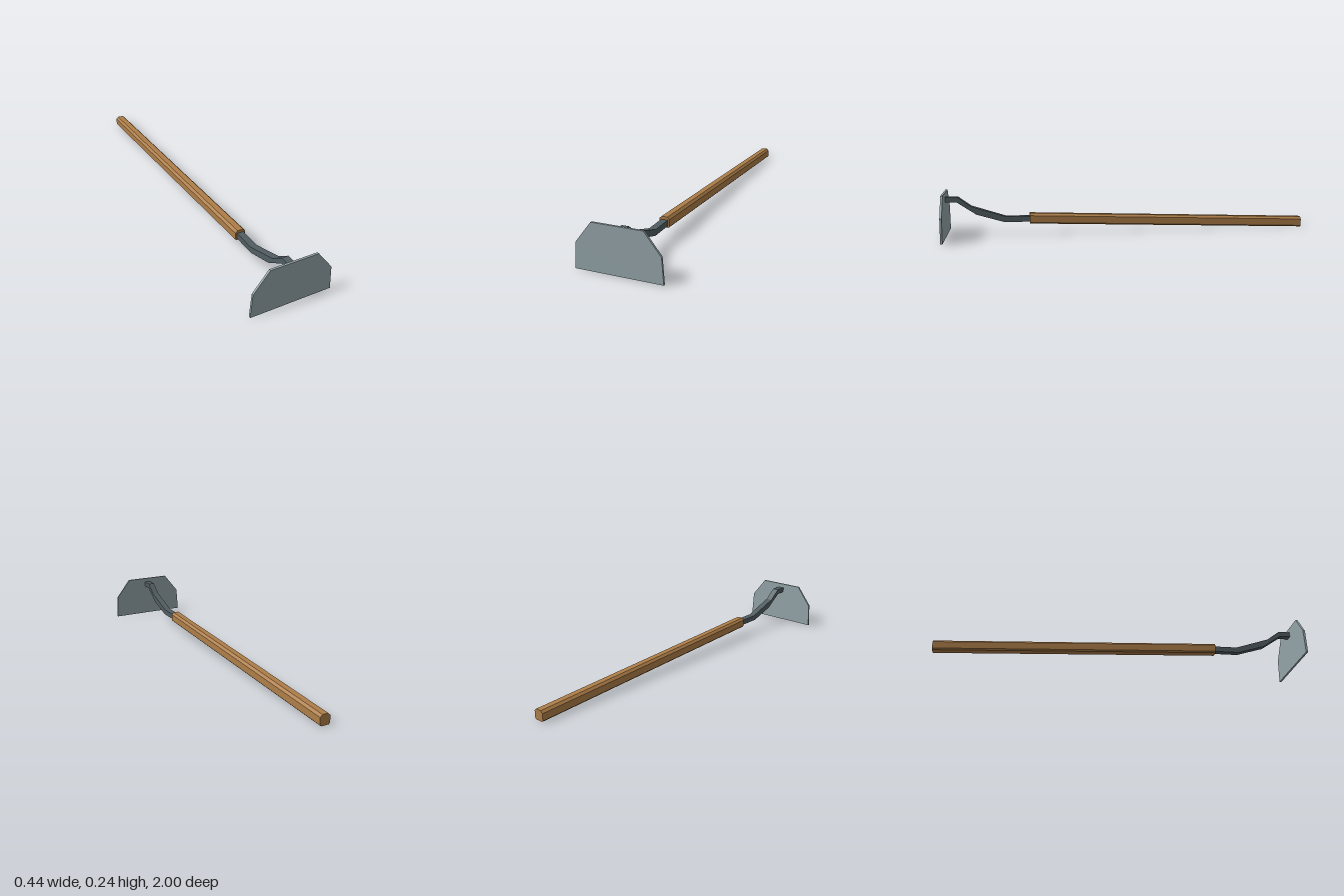
import * as THREE from 'three';

const paleSteel = new THREE.MeshStandardMaterial({ color: 0x94a4a9, flatShading: true });
const darkSteel = new THREE.MeshStandardMaterial({ color: 0x525e63, flatShading: true });
const wood = new THREE.MeshStandardMaterial({ color: 0xae7e48, flatShading: true });

// Straight extrusion of a polygon given as [x, y] corners
function extrude(points, depth) {
  const shape = new THREE.Shape(points.map(([x, y]) => new THREE.Vector2(x, y)));
  return new THREE.ExtrudeGeometry(shape, { depth, bevelEnabled: false });
}

function addPart(group, name, geometry, material) {
  const mesh = new THREE.Mesh(geometry, material);
  mesh.name = name;
  group.add(mesh);
}

export function createModel() {
  const group = new THREE.Group();
  group.name = 'hoe';

  // Blade: thin upright plate with cut shoulders
  const half = [[0.22, 0], [0.212, 0.13], [0.129, 0.236]];
  const mirrored = half.map(([x, y]) => [-x, y]).reverse();
  const blade = extrude([...half, ...mirrored], 0.011);
  blade.translate(0, 0, 0.989);
  addPart(group, 'blade', blade, paleSteel);

  // Neck: bent square bar, drawn as a side profile (z, y) and extruded across x
  const neck = extrude([
    [0.53, 0.07], [0.678, 0.07], [0.828, 0.115], [0.93, 0.184], [0.992, 0.184],
    [0.992, 0.212], [0.925, 0.212], [0.855, 0.16], [0.67, 0.1], [0.53, 0.1],
  ], 0.036);
  neck.translate(0, 0, -0.018);
  neck.rotateY(-Math.PI / 2);
  addPart(group, 'neck', neck, darkSteel);

  // Handle: square bar with broad upper and fine lower chamfers,
  // sheared so it sinks towards the back
  const r = 0.028, top = 0.016, low = 0.021;
  const handle = extrude([
    [r, -low], [r, top], [top, r], [-top, r], [-r, top], [-r, -low], [-low, -r], [low, -r],
  ], 1.545);
  handle.translate(0, 0.028, -1);
  const pos = handle.attributes.position;
  for (let i = 0; i < pos.count; i++) {
    pos.setY(i, pos.getY(i) + 0.06 * (pos.getZ(i) + 1) / 1.545);
  }
  handle.computeVertexNormals();
  addPart(group, 'handle', handle, wood);

  return group;
}
